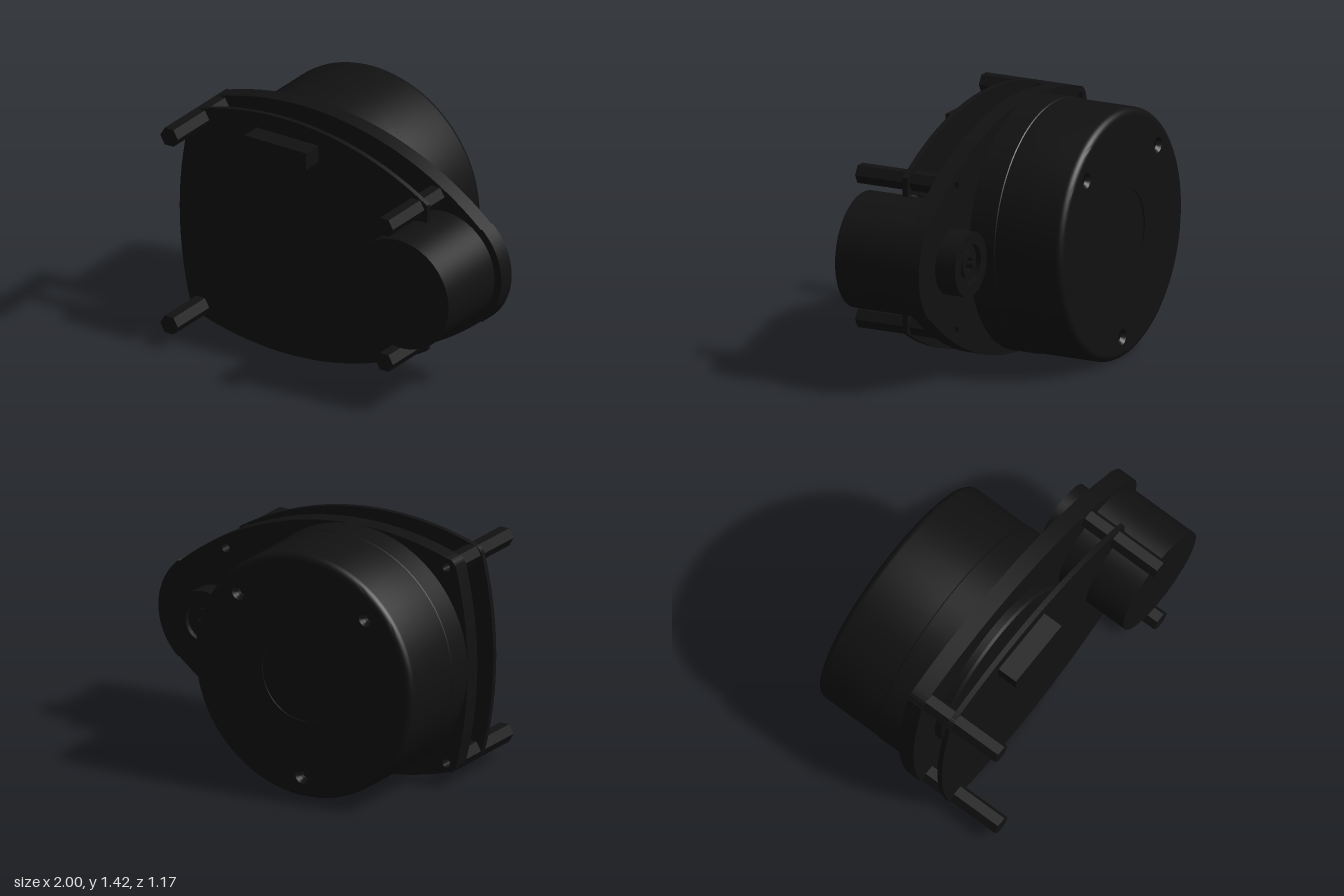
import * as THREE from 'three';
import { toCreasedNormals } from 'three/addons/utils/BufferGeometryUtils.js';

const material = new THREE.MeshStandardMaterial({ color: 0x111111, side: THREE.DoubleSide });
const MID = 0.71;                      // height of the symmetry line
const DRUM_X = -0.29, MOTOR_X = 0.63;
const rad = THREE.MathUtils.degToRad;
const POSTS = [[-0.862, 1.28], [-0.862, 0.14], [0.565, 1.12], [0.565, 0.3]];

function part(name, geometry, x = 0, y = 0, z = 0) {
  const mesh = new THREE.Mesh(geometry, material);
  mesh.name = name;
  mesh.position.set(x, y, z);
  return mesh;
}

// Turned part whose profile height runs towards the back (-z)
function turned(points, segments = 64) {
  const profile = points.map(([r, h]) => new THREE.Vector2(r, h));
  const geometry = new THREE.LatheGeometry(profile, segments).rotateX(-Math.PI / 2);
  return toCreasedNormals(geometry, rad(35));
}

// Cylinder lying along z between two depths
function rod(radius, z0, z1, sides = 64) {
  return new THREE.CylinderGeometry(radius, radius, z1 - z0, sides)
    .rotateX(Math.PI / 2).translate(0, 0, (z0 + z1) / 2);
}

function slab(shape, z0, z1) {
  const geometry = new THREE.ExtrudeGeometry(shape, { depth: z1 - z0, bevelEnabled: false, curveSegments: 32 });
  return toCreasedNormals(geometry.translate(0, 0, z0), rad(30));
}

function circle(x, y, r) {
  return new THREE.Path().absarc(x, y, r, 0, Math.PI * 2, true);
}

// Broad rounded outline from the upper flank, round the left end, to the lower flank
function flanks(shape, start) {
  const arc = (x, y, r, a, b) => shape.absarc(x, y, r, rad(a), rad(b), false);
  arc(-0.31, MID - 1.1, 1.81, start, 108.4);
  arc(-0.865, MID + 0.57, 0.055, 108.4, 165.1);
  arc(1.28, MID, 2.28, 165.1, 194.9);
  arc(-0.865, MID - 0.57, 0.055, 194.9, 251.6);
  arc(-0.31, MID + 1.1, 1.81, 251.6, 360 - start);
}

function plateShape() {
  const shape = new THREE.Shape();
  shape.absarc(MOTOR_X, MID, 0.37, rad(-49.5), rad(49.5), false);
  flanks(shape, 49.5);
  for (const [x, y] of POSTS) shape.holes.push(circle(x, y, 0.025));
  return shape;
}

// Same outline, cut off at the nose with a bay around the motor
function boardShape() {
  const shape = new THREE.Shape();
  flanks(shape, 58.3);
  shape.absarc(MOTOR_X, MID, 0.335, rad(-88.3), rad(88.3), true);
  return shape;
}

function createDrum() {
  const drum = new THREE.Group();
  drum.name = 'drum';
  drum.position.set(DRUM_X, MID, 0);
  const R = 0.71, fillet = 0.04, back = 0.585;

  // Side wall with rounded back edge
  const wall = [[R, 0.0], [R, 0.17], [R - 0.004, 0.175]];
  for (let i = 0; i <= 6; i++) {
    const a = (i / 6) * Math.PI / 2;
    wall.push([R - 0.004 - fillet + fillet * Math.cos(a), back - fillet + fillet * Math.sin(a)]);
  }
  drum.add(part('drumWall', turned(wall, 96)));

  // Back face with three screw recesses and a shallow round inset
  const face = new THREE.Shape().absarc(0, 0, R - 0.004 - fillet, 0, Math.PI * 2, false);
  const recesses = [45, 135, 270].map(a => [0.58 * Math.cos(rad(a)), 0.58 * Math.sin(rad(a))]);
  for (const [x, y] of recesses) face.holes.push(circle(x, y, 0.045));
  face.holes.push(circle(0, 0, 0.26));
  drum.add(part('drumBack', new THREE.ShapeGeometry(face, 48).rotateY(Math.PI), 0, 0, -back));
  for (const [x, y] of recesses) {
    drum.add(part('screwRecess', turned([[0, -0.05], [0.025, -0.05], [0.025, -0.025], [0.045, 0]], 24), x, y, -back));
  }
  drum.add(part('roundInset', turned([[0, -0.008], [0.26, -0.008], [0.26, 0]]), 0, 0, -back));
  return drum;
}

export function createModel() {
  const model = new THREE.Group();
  model.name = 'gearedMotorUnit';

  model.add(part('mountingPlate', slab(plateShape(), -0.015, 0.085)));
  model.add(createDrum());

  // Low boss on the front of the plate
  model.add(part('frontBoss', turned([[0, -0.142], [0.505, -0.142], [0.52, -0.127], [0.52, -0.08]]), DRUM_X, MID));

  // Circuit board and its connector
  model.add(part('circuitBoard', slab(boardShape(), 0.25, 0.28)));
  model.add(part('connector', new THREE.BoxGeometry(0.41, 0.1, 0.12), -0.285, 1.27, 0.34));

  // Motor, with bearing hub and shaft behind the plate
  model.add(part('motor', rod(0.325, 0.08, 0.53), MOTOR_X, MID));
  model.add(part('bearingHub', turned([
    [0.182, 0.01], [0.182, 0.14], [0.115, 0.14], [0.115, 0.11],
    [0.075, 0.11], [0.075, 0.13], [0.04, 0.13], [0.04, 0.1], [0, 0.1]]), MOTOR_X, MID));
  model.add(part('shaft', rod(0.02, -0.16, -0.09, 24), MOTOR_X, MID));

  // Hexagonal standoffs, corners pointing sideways
  for (const [x, y] of POSTS) {
    const post = rod(0.058, 0.08, 0.585, 6).rotateZ(Math.PI / 6);
    model.add(part('standoff', toCreasedNormals(post, rad(20)), x, y));
  }
  return model;
}
